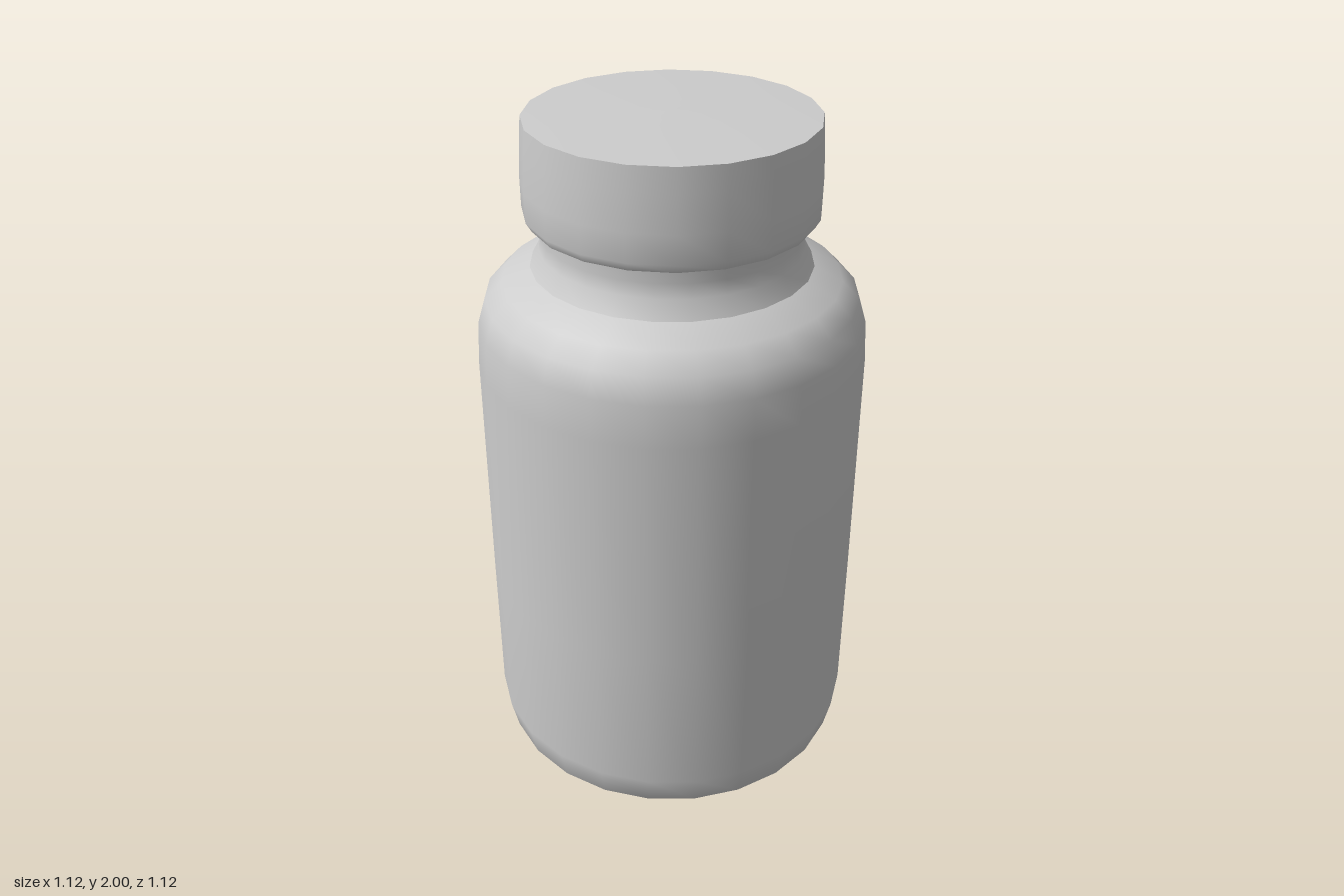
import * as THREE from 'three';

export function createModel() {
  const group = new THREE.Group();
  group.name = 'jar';
  const grey = new THREE.MeshStandardMaterial({ color: 0xcccccc });
  grey.name = 'plain grey';

  // Turned part whose axis leans very slightly to +x and -z with height
  function turned(name, profile, segments) {
    const points = profile.map(([r, y]) => new THREE.Vector2(r, y));
    const geometry = new THREE.LatheGeometry(points, segments);
    const p = geometry.attributes.position;
    for (let i = 0; i < p.count; i++) {
      const lean = 0.011 * p.getY(i) - 0.01;
      p.setX(i, p.getX(i) + lean);
      p.setZ(i, p.getZ(i) - lean);
    }
    const mesh = new THREE.Mesh(geometry, grey);
    mesh.name = name;
    group.add(mesh);
  }

  // Base, straight wall and rounded shoulder
  turned('body', [
    [0, 0.015], [0.4, 0], [0.5, 0.02], [0.53, 0.05], [0.551, 0.14],
    [0.553, 0.6], [0.553, 1.3], [0.546, 1.42], [0.525, 1.49],
    [0.475, 1.54], [0.395, 1.58],
  ], 24);

  // Short waisted neck
  turned('neck', [[0.395, 1.58], [0.368, 1.63], [0.362, 1.67], [0.366, 1.73]], 24);

  // Lid: underside, skirt and flat top
  turned('lidUnderside', [[0.35, 1.715], [0.395, 1.715]], 20);
  turned('lidSkirt', [
    [0.395, 1.715], [0.41, 1.74], [0.411, 1.82], [0.406, 1.92], [0.401, 1.99],
  ], 20);
  turned('lidTop', [[0.401, 1.99], [0.2, 1.998], [0, 2]], 20);

  return group;
}
